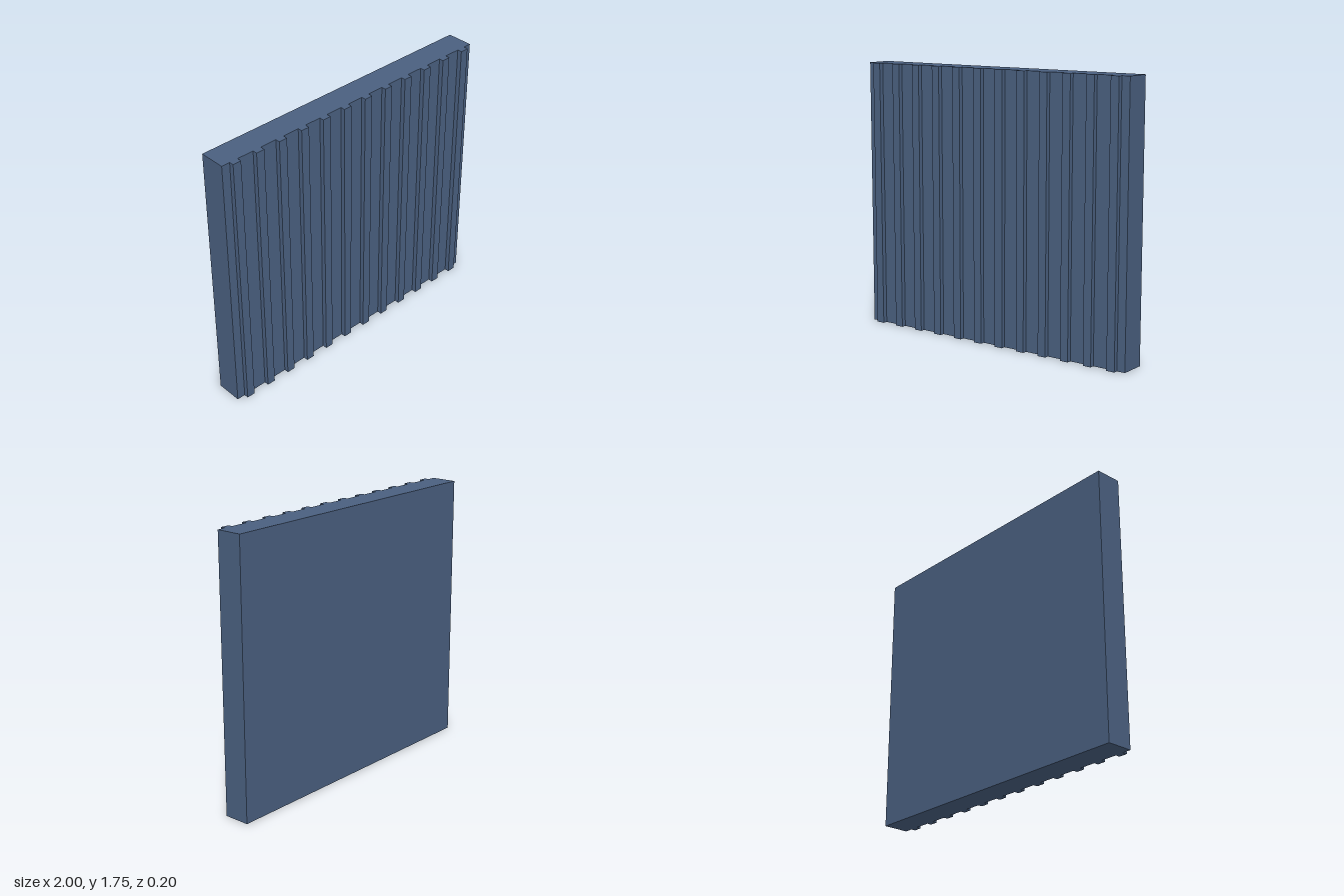
import * as THREE from 'three';

const WIDTH = 2, HEIGHT = 1.75;
const BACK = -0.1, FACE = 0.07, RIB_FACE = 0.1;
const RIBS = 12, RIB_WIDTH = 0.056;

// Plan outline of the panel: flat back, evenly spaced square ribs on the front
function ribbedOutline() {
  const shape = new THREE.Shape();
  const pitch = WIDTH / RIBS;
  // shape y is -z, so the front lies at negative y
  shape.moveTo(-WIDTH / 2, -FACE);
  for (let i = 0; i < RIBS; i++) {
    const x = -WIDTH / 2 + (i + 0.5) * pitch;
    const l = x - RIB_WIDTH / 2, r = x + RIB_WIDTH / 2;
    shape.lineTo(l, -FACE);
    shape.lineTo(l, -RIB_FACE);
    shape.lineTo(r, -RIB_FACE);
    shape.lineTo(r, -FACE);
  }
  shape.lineTo(WIDTH / 2, -FACE);
  shape.lineTo(WIDTH / 2, -BACK);
  shape.lineTo(-WIDTH / 2, -BACK);
  shape.closePath();
  return shape;
}

export function createModel() {
  const group = new THREE.Group();
  group.name = 'ribbedWallPanel';

  const slateBlue = new THREE.MeshStandardMaterial({ color: 0x4a6080 });
  slateBlue.name = 'slateBlue';

  // Panel and ribs extruded upwards as one solid
  const geometry = new THREE.ExtrudeGeometry(ribbedOutline(), { depth: HEIGHT, bevelEnabled: false });
  geometry.rotateX(-Math.PI / 2);

  const panel = new THREE.Mesh(geometry, slateBlue);
  panel.name = 'ribbedPanel';
  group.add(panel);
  return group;
}
